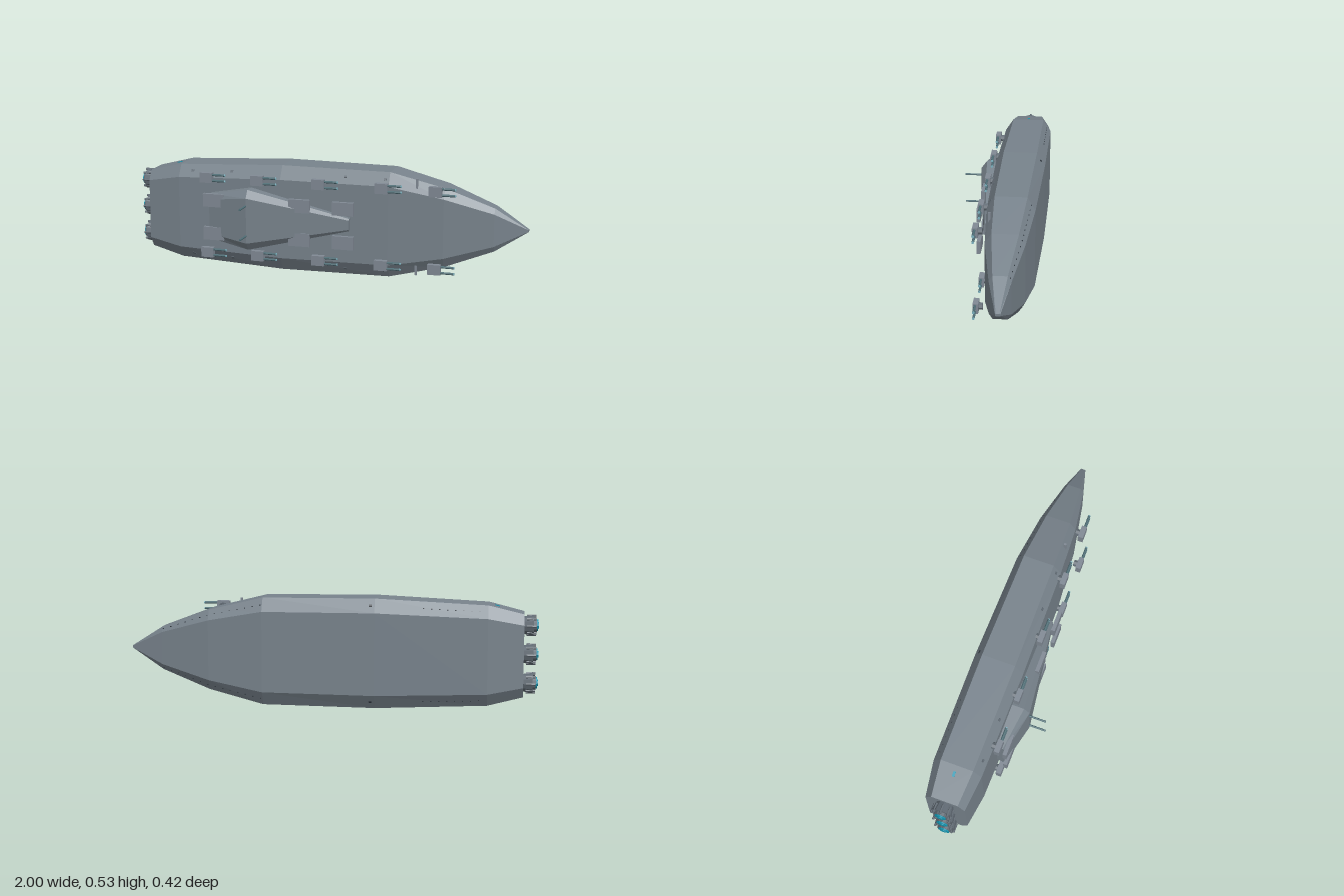
import * as THREE from 'three';

const material = (name, color, flatShading = true) => {
  const m = new THREE.MeshStandardMaterial({ color, flatShading });
  m.name = name;
  return m;
};

// Chamfered octagon: u points to the back (-z), v points up
const OCTAGON = [[1, -0.75], [1, 0.75], [0.67, 1], [-0.67, 1], [-1, 0.75], [-1, -0.75], [-0.67, -1], [0.67, -1]];
const CENTRE_Y = 0.27;

// Sections: [x, half height, centre z, half depth]
const HULL = [
  [-0.93, 0.2, -0.085, 0.098], [-0.76, 0.242, -0.087, 0.12], [-0.22, 0.267, -0.085, 0.125],
  [0.33, 0.263, -0.084, 0.115], [0.6, 0.197, -0.08, 0.093], [0.84, 0.107, -0.079, 0.051], [1, 0.006, -0.083, 0.012],
];
const DECKHOUSE = [[-0.58, 0.115, 0.042, 0.04], [-0.37, 0.153, 0.042, 0.085], [0.14, 0.031, 0.046, 0.017]];

const corner = ([x, hy, cz, hz], i) => {
  const [u, v] = OCTAGON[i % 8];
  return new THREE.Vector3(x, CENTRE_Y + v * hy, cz - u * hz);
};

// Skin a row of octagonal sections and close both ends
function loft(sections) {
  const points = [];
  const last = sections.length - 1;
  for (let i = 0; i < 8; i++) {
    for (let s = 0; s < last; s++) {
      const a = corner(sections[s], i), b = corner(sections[s], i + 1);
      const c = corner(sections[s + 1], i + 1), d = corner(sections[s + 1], i);
      points.push(a, b, c, a, c, d);
    }
    const [x0, , z0] = sections[0], [x1, , z1] = sections[last];
    points.push(new THREE.Vector3(x0, CENTRE_Y, z0), corner(sections[0], i + 1), corner(sections[0], i));
    points.push(new THREE.Vector3(x1, CENTRE_Y, z1), corner(sections[last], i), corner(sections[last], i + 1));
  }
  const geometry = new THREE.BufferGeometry().setFromPoints(points);
  geometry.computeVertexNormals();
  return geometry;
}

// Point and outward direction on one of the eight hull faces
function onHull(x, face, t) {
  let s = 0;
  while (s < HULL.length - 2 && HULL[s + 1][0] < x) s++;
  const k = (x - HULL[s][0]) / (HULL[s + 1][0] - HULL[s][0]);
  const section = HULL[s].map((v, j) => THREE.MathUtils.lerp(v, HULL[s + 1][j], k));
  const a = corner(section, face), b = corner(section, face + 1);
  const along = corner(HULL[s + 1], face).sub(corner(HULL[s], face));
  const normal = b.clone().sub(a).cross(along).normalize();
  return { point: a.lerp(b, t), normal };
}

export function createModel() {
  const model = new THREE.Group();
  const hullGrey = material('hull grey', 0x78838c);
  const plateGrey = material('plate grey', 0x818a95);
  const engineGrey = material('engine grey', 0x626c75);
  const gunTeal = material('gun teal grey', 0x4f6e76);
  const glow = material('engine glow', 0x1596b0);
  const lens = material('muzzle blue', 0x7fb6c4);
  const dark = material('window dark', 0x343c44);

  const add = (parent, name, geometry, mat, x = 0, y = 0, z = 0) => {
    const mesh = new THREE.Mesh(geometry, mat);
    mesh.name = name;
    mesh.position.set(x, y, z);
    parent.add(mesh);
    return mesh;
  };
  const box = (w, h, d) => new THREE.BoxGeometry(w, h, d);
  const rodX = (r0, r1, length, sides) => new THREE.CylinderGeometry(r0, r1, length, sides).rotateZ(Math.PI / 2);
  const rodZ = (r, length, sides) => new THREE.CylinderGeometry(r, r, length, sides).rotateX(Math.PI / 2);

  add(model, 'hull', loft(HULL), hullGrey);
  add(model, 'deckhouse', loft(DECKHOUSE), hullGrey);

  // Three engines at the stern
  for (const y of [0.13, 0.27, 0.41]) {
    const engine = new THREE.Group();
    engine.name = 'engine';
    engine.position.set(0, y, -0.085);
    add(engine, 'engineBell', rodX(0.052, 0.042, 0.05, 12), engineGrey, -0.95);
    add(engine, 'engineRing', rodX(0.034, 0.034, 0.02, 12), engineGrey, -0.98);
    add(engine, 'engineCore', rodX(0.028, 0.028, 0.03, 12), glow, -0.981);
    add(engine, 'engineTip', rodX(0.016, 0.016, 0.012, 8), glow, -0.994);
    for (let i = 0; i < 8; i++) {
      const a = (i / 8) * Math.PI * 2;
      add(engine, 'thrusterPin', rodX(0.006, 0.006, 0.045, 6), engineGrey,
        -0.965, Math.sin(a) * 0.047, Math.cos(a) * 0.047);
    }
    model.add(engine);
  }

  // Two rows of twin gun turrets
  for (const x of [-0.6, -0.333, -0.018, 0.302, 0.568]) {
    for (const y of [0.464, 0.079]) {
      const turret = new THREE.Group();
      turret.name = 'turret';
      turret.position.set(x, y, 0.058);
      add(turret, 'turretBase', rodZ(0.018, 0.024, 8), engineGrey, 0, 0, -0.02);
      add(turret, 'turretBody', box(0.064, 0.05, 0.026), plateGrey);
      for (const dy of [-0.015, 0.015]) {
        add(turret, 'gunBarrel', rodX(0.006, 0.006, 0.068, 8), gunTeal, 0.062, dy, 0.002);
        add(turret, 'muzzle', rodX(0.006, 0.006, 0.004, 8), lens, 0.098, dy, 0.002);
      }
      model.add(turret);
    }
  }

  for (const side of [-1, 1]) {
    // Armour plates and masts beside the deckhouse
    for (const x of [-0.553, -0.107, 0.117]) {
      add(model, 'armourPlate', box(0.108, 0.066, 0.019), plateGrey, x, 0.271 + side * 0.085, 0.087);
    }
    add(model, 'mast', rodZ(0.005, 0.1, 8), gunTeal, -0.372, 0.27 + side * 0.076, 0.161);
    // Forward fins
    add(model, 'fin', box(0.01, 0.055, 0.012), plateGrey, 0.466, 0.27 + side * 0.214, 0.004);
  }

  // Thin details laid on the hull faces
  const detail = (name, x, face, t, w, h, mat) => {
    const { point, normal } = onHull(x, face, t);
    const mesh = add(model, name, box(w, h, 0.006), mat);
    mesh.position.copy(point);
    const xAxis = new THREE.Vector3(1, 0, 0).addScaledVector(normal, -normal.x).normalize();
    const yAxis = normal.clone().cross(xAxis);
    mesh.quaternion.setFromRotationMatrix(new THREE.Matrix4().makeBasis(xAxis, yAxis, normal));
  };
  for (const face of [2, 6]) detail('runningLight', -0.8, face, 0.5, 0.026, 0.012, glow);
  for (const face of [3, 5]) {
    for (const x of [-0.69, -0.48, 0.11, 0.31]) detail('hatch', x, face, 0.5, 0.014, 0.012, engineGrey);
  }
  for (const face of [1, 7]) {
    detail('hatch', -0.2, face, 0.5, 0.014, 0.01, dark);
    for (let i = 0; i < 14; i++) detail('window', 0.34 + i * 0.038, face, 0.5, 0.006, 0.003, dark);
    for (let i = 0; i < 8; i++) detail('window', -0.72 + i * 0.038, face, 0.5, 0.006, 0.003, dark);
  }
  return model;
}
